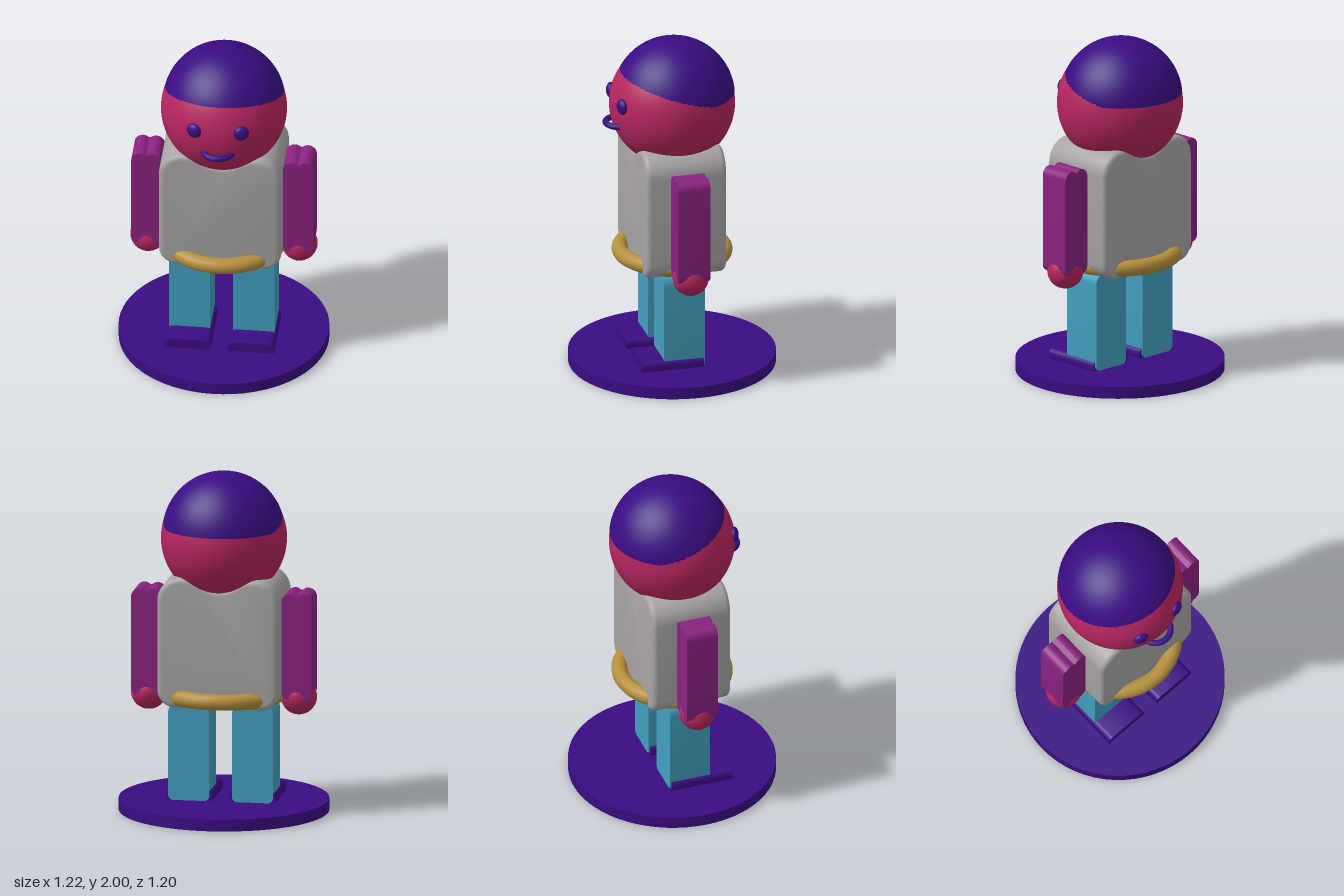
import * as THREE from 'three';
import { toCreasedNormals } from 'three/addons/utils/BufferGeometryUtils.js';

const mat = (name, color) => new THREE.MeshStandardMaterial({ name, color });

// Upright slab with rounded corners; the top edge may dip in the middle.
function slab({ w, y0, y1, z0, z1, rTop, rBottom, dip = 0, bevel = 0, smoothDip = true }) {
  const a = w / 2, k = 0.45, s = new THREE.Shape();
  s.moveTo(-a + rBottom, y0);
  s.lineTo(a - rBottom, y0);
  s.bezierCurveTo(a - rBottom * k, y0, a, y0 + rBottom * k, a, y0 + rBottom);
  s.lineTo(a, y1 - rTop);
  s.bezierCurveTo(a, y1 - rTop * k, a - rTop * k, y1, a - rTop, y1);
  if (dip) {
    const m = (a - rTop) / 2, c = smoothDip ? y1 - dip : y1 - dip * 0.5;
    s.bezierCurveTo(m, y1, m, c, 0, y1 - dip);
    s.bezierCurveTo(-m, c, -m, y1, -a + rTop, y1);
  } else s.lineTo(-a + rTop, y1);
  s.bezierCurveTo(-a + rTop * k, y1, -a, y1 - rTop * k, -a, y1 - rTop);
  s.lineTo(-a, y0 + rBottom);
  s.bezierCurveTo(-a, y0 + rBottom * k, -a + rBottom * k, y0, -a + rBottom, y0);
  const geo = new THREE.ExtrudeGeometry(s, {
    depth: z1 - z0 - 2 * bevel, curveSegments: 10, bevelEnabled: bevel > 0,
    bevelThickness: bevel, bevelSize: bevel, bevelOffset: -bevel, bevelSegments: 4,
  });
  geo.translate(0, 0, z0 + bevel);
  return toCreasedNormals(geo, 0.6);
}

export function createModel() {
  const model = new THREE.Group();
  model.name = 'figurine';
  const purple = mat('deep purple', 0x3a0c82);
  const skin = mat('raspberry', 0xb5255f);
  const grey = mat('warm grey', 0xa8a4a4);
  const plum = mat('plum', 0x8a2280);
  const teal = mat('teal', 0x439fbf);
  const gold = mat('gold', 0xb58f3c);
  const purpleOpen = purple;
  purpleOpen.side = THREE.DoubleSide;

  const add = (name, geo, material, x = 0, y = 0, z = 0) => {
    const mesh = new THREE.Mesh(geo, material);
    mesh.name = name;
    mesh.position.set(x, y, z);
    model.add(mesh);
    return mesh;
  };

  // Round stand
  add('base', new THREE.CylinderGeometry(0.61, 0.61, 0.07, 64), purple, 0, 0.035, 0).scale.z = 0.985;

  // Torso with sloping shoulders and a neck dip
  add('torso', slab({ w: 0.71, y0: 0.64, y1: 1.41, z0: -0.24, z1: 0.24,
    rTop: 0.14, rBottom: 0.1, dip: 0.07, bevel: 0.03 }), grey);

  // Belt ring, showing where it passes outside the torso
  const belt = add('belt', new THREE.TorusGeometry(0.302, 0.047, 16, 64).rotateX(Math.PI / 2),
    gold, 0, 0.697, 0);
  belt.scale.x = 1.06;

  // Limbs
  const leg = slab({ w: 0.24, y0: 0.07, y1: 0.65, z0: -0.12, z1: 0.125, rTop: 0.06, rBottom: 0.03 });
  const shoe = slab({ w: 0.27, y0: 0.06, y1: 0.13, z0: -0.11, z1: 0.26, rTop: 0.035, rBottom: 0.005 });
  const arm = slab({ w: 0.175, y0: 0.68, y1: 1.31, z0: -0.095, z1: 0.095,
    rTop: 0.05, rBottom: 0.04, dip: 0.015, smoothDip: false });
  const hand = new THREE.SphereGeometry(0.105, 32, 20);
  const eye = new THREE.SphereGeometry(0.046, 24, 16).scale(1, 1, 0.6);
  for (const [side, s] of [['left', 1], ['right', -1]]) {
    add(side + 'Leg', leg, teal, s * 0.187);
    add(side + 'Shoe', shoe, purple, s * 0.185);
    add(side + 'Arm', arm, plum, s * 0.442);
    add(side + 'Hand', hand, skin, s * 0.44, 0.685, 0);
    add(side + 'Eye', eye, purple, s * 0.137, 1.665, 0.331).rotation.y = s * 0.3;
  }

  // Head and the cap sunk into it
  add('head', new THREE.SphereGeometry(0.365, 64, 40), skin, 0, 1.61, 0);
  add('cap', new THREE.SphereGeometry(0.355, 64, 32, 0, Math.PI * 2, 0, 1.472), purpleOpen, 0, 1.645, -0.01);

  // Curved mouth bar
  add('mouth', new THREE.TorusGeometry(0.087, 0.018, 12, 32, Math.PI).rotateX(Math.PI / 2),
    purple, 0, 1.518, 0.307);

  return model;
}
